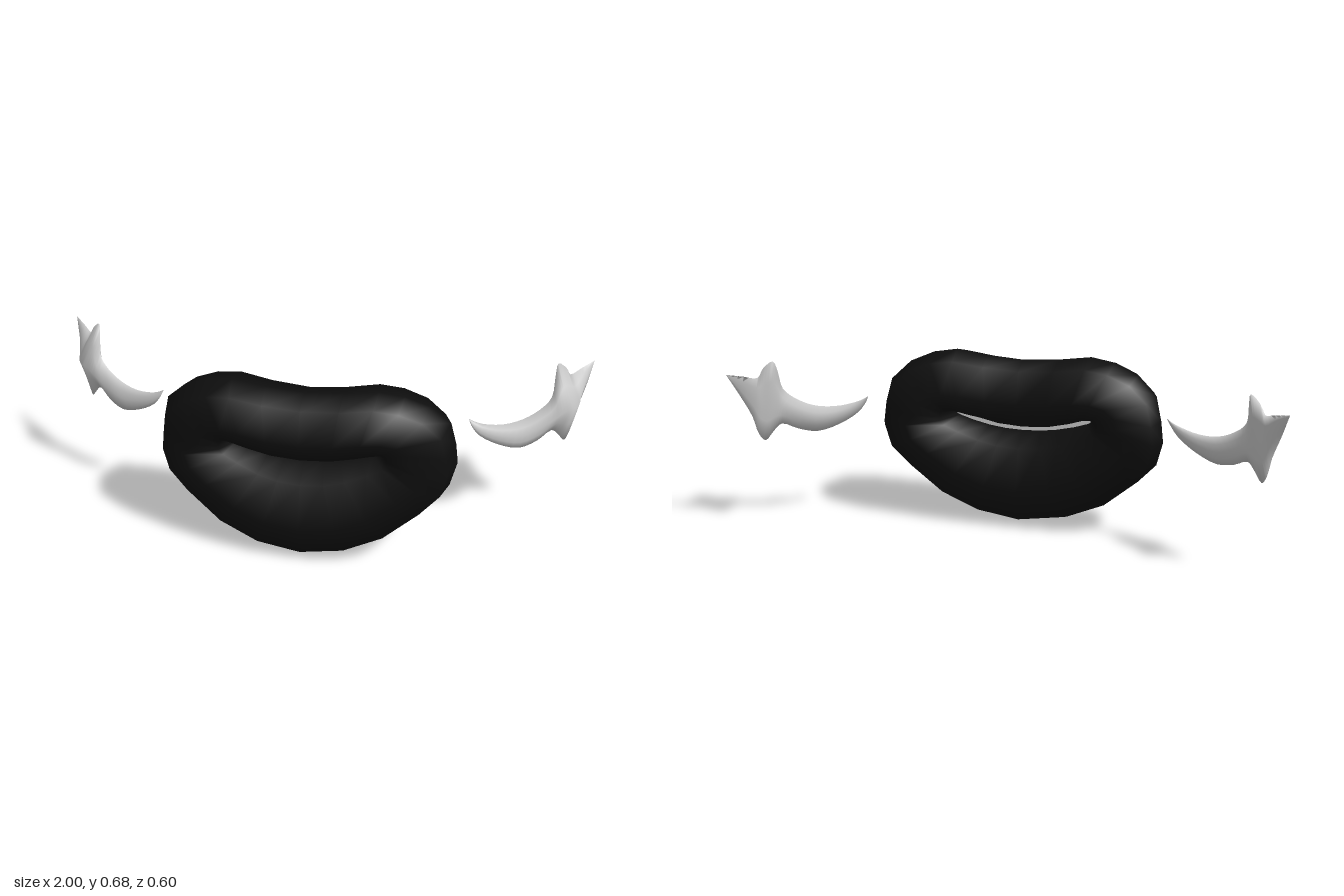
import * as THREE from 'three';

const black = new THREE.MeshStandardMaterial({ color: 0x0e0e0e });
const grey = new THREE.MeshStandardMaterial({ color: 0xcccccc, side: THREE.DoubleSide });

// Skin over a list of equal-length closed cross-sections.
function loft(rings, closed, flip) {
  const n = rings[0].length, index = [];
  const spans = closed ? rings.length : rings.length - 1;
  for (let i = 0; i < spans; i++) {
    const r = i * n, s = ((i + 1) % rings.length) * n;
    for (let j = 0; j < n; j++) {
      const k = (j + 1) % n;
      if (flip) index.push(r + j, r + k, s + j, r + k, s + k, s + j);
      else index.push(r + j, s + j, r + k, r + k, s + j, s + k);
    }
  }
  const geo = new THREE.BufferGeometry();
  geo.setAttribute('position', new THREE.Float32BufferAttribute(rings.flat(2), 3));
  geo.setIndex(index);
  geo.computeVertexNormals();
  return geo;
}

const mix = (a, b, t) => a + (b - a) * t;

// Half of the mouth, top centre to bottom centre:
// outer x, y, z, then inner x, y, then front z and back z
const lipStations = [
  [0, 0.655, 0.15, 0, 0.394, 0.285, 0.025],
  [0.14, 0.665, 0.15, 0.1, 0.401, 0.285, 0.015],
  [0.26, 0.682, 0.148, 0.18, 0.419, 0.28, 0],
  [0.35, 0.668, 0.14, 0.23, 0.435, 0.27, -0.005],
  [0.44, 0.63, 0.125, 0.255, 0.442, 0.257, -0.006],
  [0.513, 0.56, 0.105, 0.262, 0.441, 0.25, -0.006],
  [0.535, 0.47, 0.093, 0.265, 0.436, 0.246, -0.006],
  [0.545, 0.39, 0.09, 0.262, 0.43, 0.245, -0.004],
  [0.522, 0.298, 0.1, 0.25, 0.424, 0.25, 0],
  [0.452, 0.219, 0.12, 0.2, 0.408, 0.265, 0.008],
  [0.32, 0.102, 0.145, 0.13, 0.392, 0.285, 0.016],
  [0.17, 0.032, 0.165, 0.07, 0.384, 0.298, 0.02],
  [0, 0.003, 0.17, 0, 0.381, 0.3, 0.024],
];
const INNER_Z = 0.14;

// Eight-sided cross-section of the lip tube
function lipRing([ox, oy, oz, ix, iy, front, back], side, top) {
  const mid = top ? 0.56 : 0.42;
  const at = (t, z) => [side * mix(ox, ix, t), mix(oy, iy, t), z];
  return [
    at(0, oz), at(0.1, mix(oz, front, 0.7)), at(mid, front), at(0.86, mix(INNER_Z, front, 0.7)),
    at(1, INNER_Z), at(0.86, mix(INNER_Z, back, 0.7)), at(mid, back), at(0.1, mix(oz, back, 0.7)),
  ];
}

function makeMouth() {
  const mouth = new THREE.Group();
  mouth.name = 'mouth';
  const right = lipStations.map((s, i) => lipRing(s, 1, i < 7));
  const left = lipStations.map((s, i) => lipRing(s, -1, i < 7)).slice(1, -1).reverse();
  const lips = new THREE.Mesh(loft([...right, ...left], true, true), black);
  lips.name = 'lips';

  // Thin sheet closing the slit, with its rim sunk into the lips
  const rim = lipStations.map((s, i) => new THREE.Vector2(s[3] * 1.07, s[4] + (i < 7 ? 0.012 : -0.012)));
  const mirrored = rim.slice(1, -1).reverse().map((p) => new THREE.Vector2(-p.x, p.y));
  const sheet = new THREE.Mesh(new THREE.ShapeGeometry(new THREE.Shape([...rim, ...mirrored])), grey);
  sheet.position.z = INNER_Z;
  sheet.name = 'mouthSlit';
  mouth.add(lips, sheet);
  return mouth;
}

// Curved whisker with a three-pointed end:
// upper edge, lower edge, front bulge, back bulge, fullness, outward turn of the bulge
const whiskerStations = [
  [[0.57, 0.515, -0.012], [0.569, 0.513, -0.011], 0, 0, 0.7, 0.4],
  [[0.585, 0.505, -0.016], [0.58, 0.49, -0.006], 0.003, 0.004, 0.7, 0.4],
  [[0.62, 0.491, -0.026], [0.61, 0.45, -0.012], 0.007, 0.009, 0.75, 0.4],
  [[0.69, 0.479, -0.055], [0.68, 0.404, -0.037], 0.012, 0.016, 0.75, 0.4],
  [[0.76, 0.488, -0.09], [0.757, 0.379, -0.068], 0.016, 0.02, 0.75, 0.4],
  [[0.82, 0.52, -0.12], [0.82, 0.395, -0.105], 0.02, 0.018, 0.7, 0.45],
  [[0.855, 0.56, -0.143], [0.868, 0.422, -0.143], 0.035, 0.015, 0.6, 0.55],
  [[0.86, 0.632, -0.166], [0.894, 0.396, -0.163], 0.05, 0.012, 0.5, 0.65],
  [[0.866, 0.675, -0.19], [0.92, 0.363, -0.18], 0.062, 0.01, 0.45, 0.72],
  [[0.898, 0.65, -0.207], [0.936, 0.392, -0.2], 0.05, 0.008, 0.5, 0.8],
  [[0.915, 0.617, -0.223], [0.95, 0.465, -0.216], 0.035, 0.006, 0.55, 0.85],
  [[0.952, 0.628, -0.257], [0.977, 0.555, -0.252], 0.012, 0.004, 0.6, 0.9],
  [[1, 0.643, -0.3], [0.999, 0.641, -0.299], 0, 0, 0.7, 0.9],
];
const SMOOTH_STEPS = 3;

// Eight-point lens-shaped cross-section of a whisker
function whiskerRing([up, low, front, back, full, nx], side) {
  const nz = Math.sqrt(1 - nx * nx);
  const at = (t, b) => new THREE.Vector3(
    side * (mix(up[0], low[0], t) + nx * b), mix(up[1], low[1], t), mix(up[2], low[2], t) + nz * b,
  );
  return [
    at(0, 0), at(0.25, front * full), at(0.5, front), at(0.75, front * full),
    at(1, 0), at(0.75, -back * full), at(0.5, -back), at(0.25, -back * full),
  ];
}

function makeWhisker(side) {
  const coarse = whiskerStations.map((s) => whiskerRing(s, side));
  // Smooth each lengthwise line through the cross-sections
  const count = (coarse.length - 1) * SMOOTH_STEPS;
  const lanes = coarse[0].map((_, j) =>
    new THREE.CatmullRomCurve3(coarse.map((ring) => ring[j])).getPoints(count));
  const rings = lanes[0].map((_, i) => lanes.map((lane) => lane[i].toArray()));
  const whisker = new THREE.Mesh(loft(rings, false, side > 0), grey);
  whisker.name = side > 0 ? 'leftWhisker' : 'rightWhisker';
  return whisker;
}

export function createModel() {
  const model = new THREE.Group();
  model.name = 'mouthWithWhiskers';
  model.add(makeMouth(), makeWhisker(1), makeWhisker(-1));
  return model;
}
